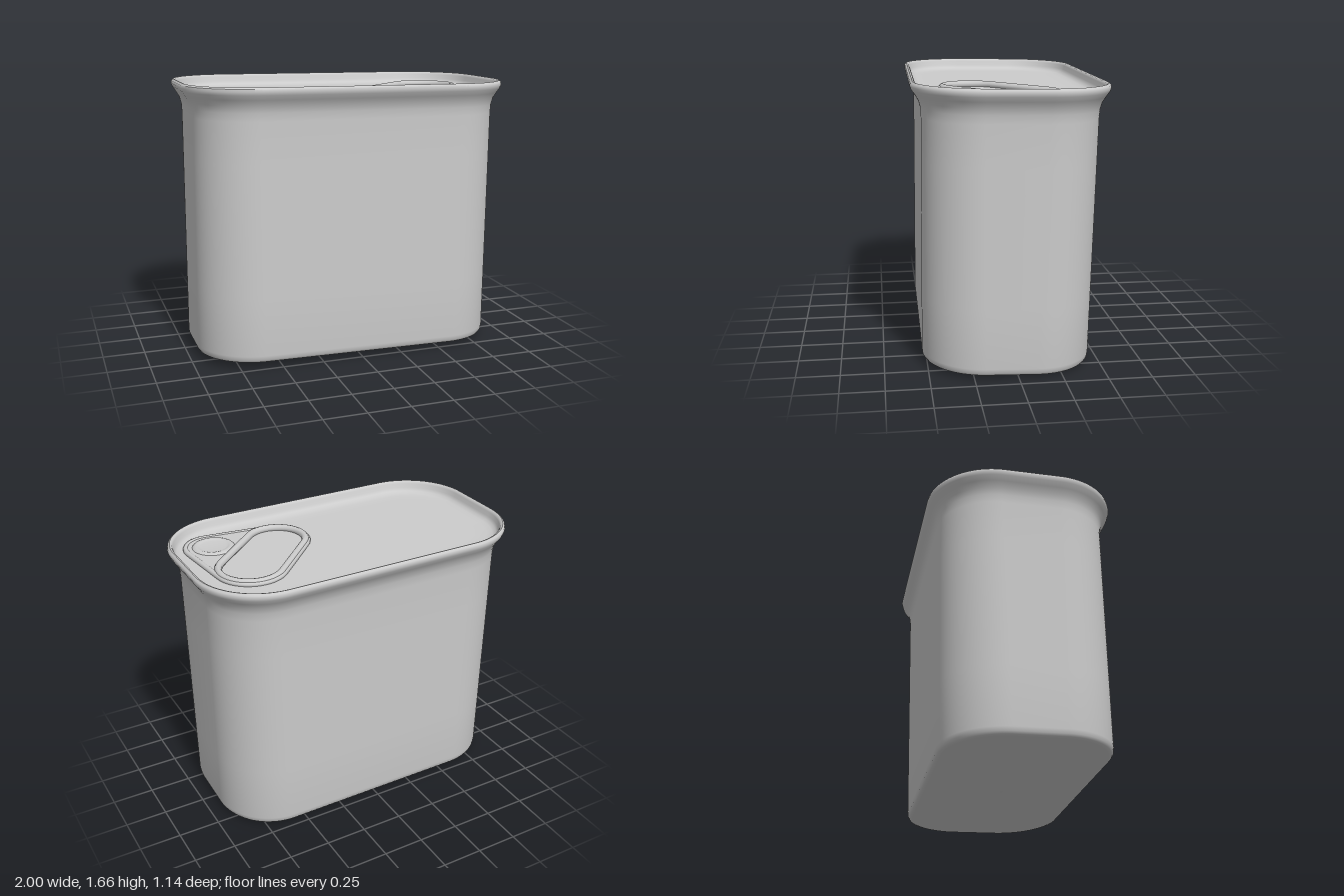
import * as THREE from 'three';
import { toCreasedNormals, mergeVertices } from 'three/addons/utils/BufferGeometryUtils.js';

const N = 120;
const LID = 1.572;
const mat = new THREE.MeshStandardMaterial({ color: 0xcccccc });

// Convex outline wrapped around circles [x, z, r], one point per direction
function hull(circles) {
  return Array.from({ length: N }, (_, i) => {
    const t = ((i + 0.5) / N) * Math.PI * 2, c = Math.cos(t), s = Math.sin(t);
    const reach = (k) => k[0] * c + k[1] * s + k[2];
    const k = circles.reduce((a, b) => (reach(b) > reach(a) ? b : a));
    return new THREE.Vector2(k[0] + k[2] * c, k[1] + k[2] * s);
  });
}

// Rounded rectangle with half sizes x, z and corner radius r
function roundedRect(x, z, r) {
  const a = x - r, b = z - r;
  return hull([[a, b, r], [-a, b, r], [-a, -b, r], [a, -b, r]]);
}

// Skin through rings [offset from the wall, height, scale];
// the base is a little narrower, leaning and sloped
function tin(rings) {
  const pos = [], idx = [];
  rings.forEach(([d, y, scale = 1]) => {
    const mix = (base, top) => THREE.MathUtils.lerp(base, top, Math.min(1, y / 1.6));
    roundedRect(0.935 + d, mix(0.494, 0.504) + d, mix(0.355, 0.335) + d).forEach((p) => {
      const x = p.x * scale, z = p.y * scale;
      pos.push(
        x + mix(-0.015, 0),
        y + mix(0.025, 0) - 0.011 * x + mix(0.03, 0.012) * z,
        z + mix(0.028, 0),
      );
    });
  });
  for (let j = 0; j < rings.length - 1; j++) {
    for (let i = 0; i < N; i++) {
      const a = j * N + i, b = j * N + ((i + 1) % N);
      idx.push(a, a + N, b, b, a + N, b + N);
    }
  }
  const g = new THREE.BufferGeometry();
  g.setAttribute('position', new THREE.Float32BufferAttribute(pos, 3));
  g.setIndex(idx);
  return toCreasedNormals(mergeVertices(g), 0.75);
}

function add(parent, name, geometry) {
  const mesh = new THREE.Mesh(geometry, mat);
  mesh.name = name;
  parent.add(mesh);
  return mesh;
}

// Rounded ridge following an outline
function ridge(points, r) {
  const path = new THREE.CatmullRomCurve3(points.map((p) => new THREE.Vector3(p.x, 0, p.y)), true);
  return new THREE.TubeGeometry(path, 160, r, 10, true);
}

export function createModel() {
  const model = new THREE.Group();
  model.name = 'tin';
  model.rotation.y = -0.01;

  // Base, wall, flared neck, rolled rim and sunken lid
  add(model, 'body', tin([
    [0, 0, 0], [-0.03, 0, 1], [-0.012, 0.006], [-0.003, 0.02], [0, 0.045],
    [0, 0.4], [0, 0.8], [0, 1.2], [0, 1.45], [0.003, 1.5], [0.014, 1.54],
    [0.035, 1.575], [0.054, 1.603], [0.061, 1.622], [0.058, 1.638], [0.046, 1.647],
    [0.035, 1.643], [0.028, 1.63], [0.022, 1.605], [0.01, 1.586],
    [-0.012, LID + 0.005], [-0.045, LID], [-0.12, LID], [-0.12, LID, 0],
  ]));

  // Pull tab lying flat on the lid
  const tab = new THREE.Group();
  tab.name = 'pullTab';
  tab.position.y = LID;
  tab.rotation.set(-0.012, 0, -0.011);
  model.add(tab);

  const outer = hull([[0.62, -0.09, 0.2], [0.33, 0.19, 0.19], [0.71, 0.28, 0.15]]);
  const finger = hull([[0.62, -0.09, 0.185], [0.33, 0.19, 0.175]]);
  const flip = (pts) => pts.map((p) => new THREE.Vector2(p.x, -p.y));
  const shape = new THREE.Shape(flip(outer));
  shape.holes.push(new THREE.Path(flip(finger)));
  const plate = new THREE.ExtrudeGeometry(shape, { depth: 0.016, bevelEnabled: false });
  add(tab, 'tabPlate', plate.rotateX(-Math.PI / 2));
  add(tab, 'tabEdge', ridge(outer, 0.016)).position.y = 0.006;
  add(tab, 'fingerHoleEdge', ridge(finger, 0.022)).position.y = 0.012;

  // Rivet with a shallow dished head
  const rivet = add(tab, 'rivet', new THREE.LatheGeometry(
    [[0.13, 0.01], [0.12, 0.022], [0.105, 0.028], [0.09, 0.024], [0.075, 0.018], [0, 0.018]]
      .map(([r, y]) => new THREE.Vector2(r, y)), 40));
  rivet.position.set(0.7, 0, 0.27);

  return model;
}
